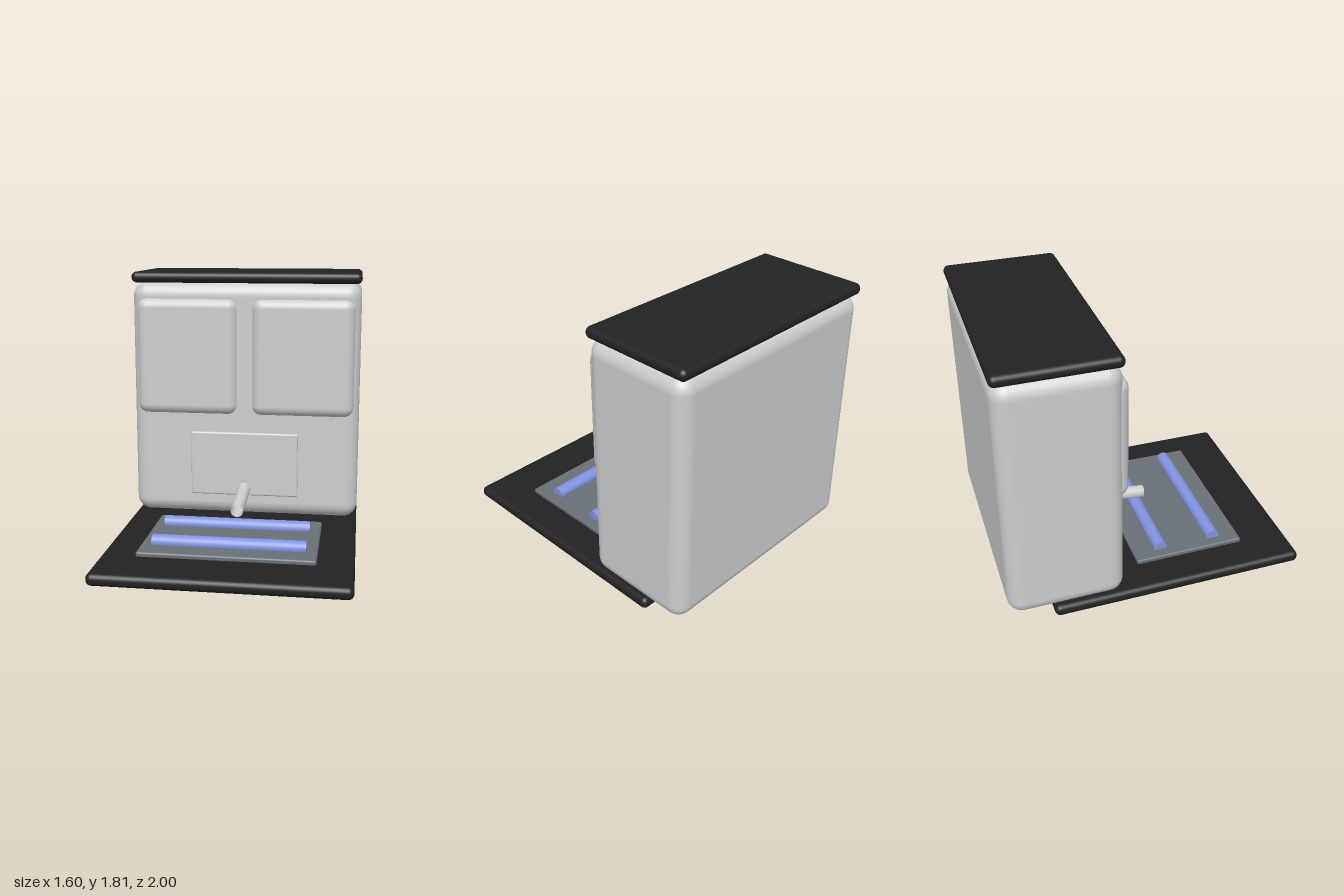
import * as THREE from 'three';
import { RoundedBoxGeometry } from 'three/addons/geometries/RoundedBoxGeometry.js';

function material(name, color, side = THREE.FrontSide) {
  const m = new THREE.MeshStandardMaterial({ color, side });
  m.name = name;
  return m;
}

export function createModel() {
  const model = new THREE.Group();
  model.name = 'drinkDispenser';
  const black = material('black', 0x222222);
  const silver = material('silver', 0xcccdce, THREE.DoubleSide);
  const slate = material('slate grey', 0x687076);
  const blue = material('periwinkle blue', 0x8093e0);

  const add = (name, geometry, mat) => {
    const mesh = new THREE.Mesh(geometry, mat);
    mesh.name = name;
    model.add(mesh);
    return mesh;
  };

  // Rounded block given by its min and max on each axis
  const block = (name, [x0, x1], [y0, y1], [z0, z1], radius, mat) => {
    const mesh = add(name, new RoundedBoxGeometry(x1 - x0, y1 - y0, z1 - z0, 6, radius), mat);
    mesh.position.set((x0 + x1) / 2, (y0 + y1) / 2, (z0 + z1) / 2);
  };

  // Base, cabinet and lid
  block('base', [-0.8, 0.8], [0, 0.08], [-0.71, 1], 0.036, black);
  block('cabinet', [-0.8, 0.8], [0.08, 1.742], [-1, -0.24], 0.1, silver);
  block('lid', [-0.8, 0.8], [1.735, 1.81], [-1, -0.24], 0.036, black);

  // Two raised upper doors
  for (const [side, x] of [['left', 0.405], ['right', -0.405]]) {
    block(side + 'Door', [x - 0.355, x + 0.355], [0.815, 1.632], [-0.34, -0.2], 0.069, silver);
  }

  // Lower front plate
  block('spoutPlate', [-0.38, 0.38], [0.233, 0.69], [-0.26, -0.222], 0.012, silver);

  // Open spout sloping forward over the tray
  const path = new THREE.CatmullRomCurve3([
    new THREE.Vector3(0, 0.3, -0.27),
    new THREE.Vector3(0, 0.281, -0.21),
    new THREE.Vector3(0, 0.262, -0.13),
    new THREE.Vector3(0, 0.25, -0.01),
    new THREE.Vector3(0, 0.234, 0.144),
  ]);
  add('spout', new THREE.TubeGeometry(path, 32, 0.043, 24, false), silver);

  // Drip tray with two rails
  block('dripTray', [-0.57, 0.566], [0.072, 0.11], [-0.085, 0.67], 0.014, slate);
  for (const [name, z] of [['backRail', 0.102], ['frontRail', 0.486]]) {
    const rail = add(name, new THREE.CylinderGeometry(0.046, 0.046, 0.994, 32), blue);
    rail.rotation.z = Math.PI / 2;
    rail.position.set(-0.003, 0.122, z);
  }

  return model;
}
